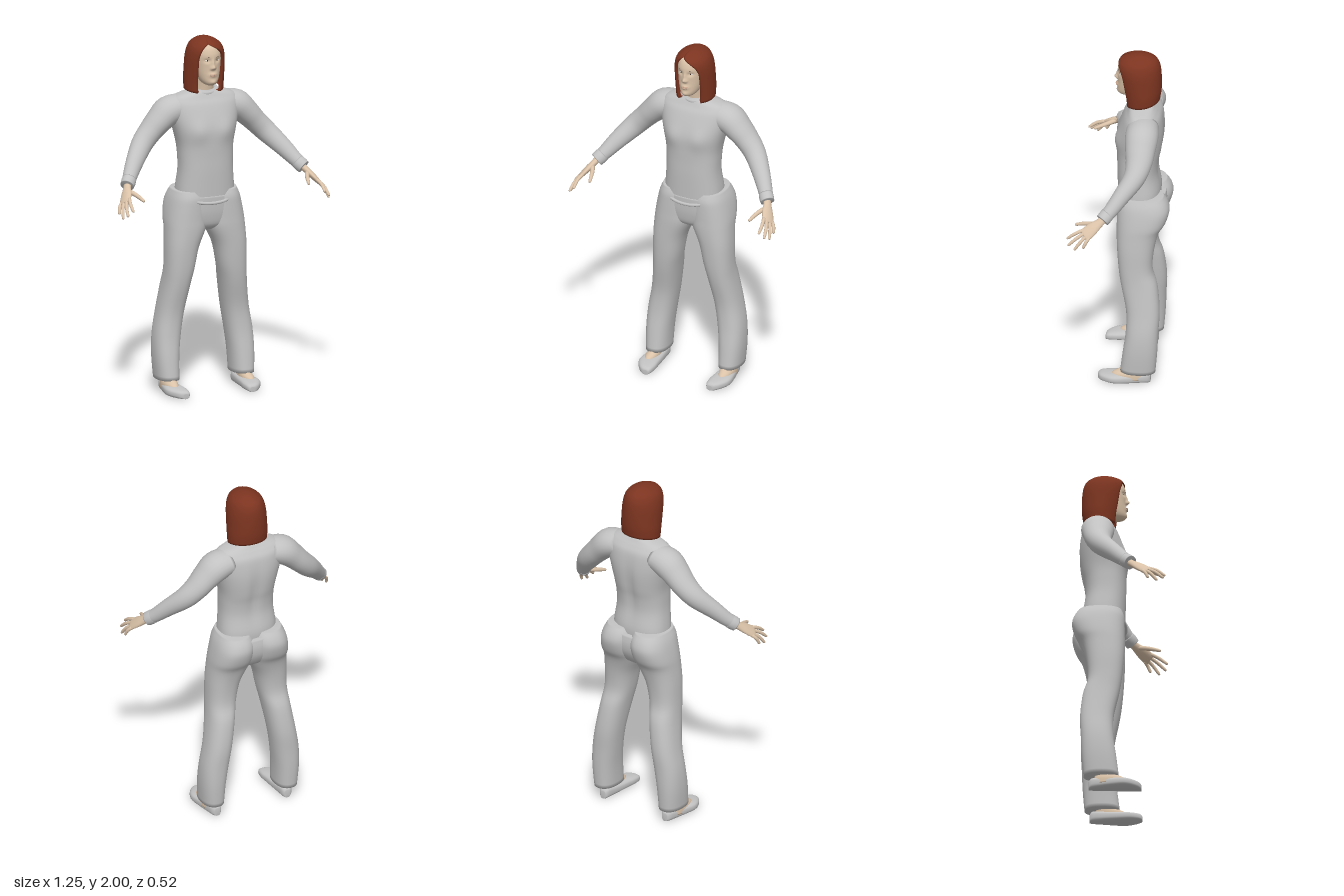
import * as THREE from 'three';

const mat = (name, color, side = THREE.FrontSide) => {
  const m = new THREE.MeshStandardMaterial({ color, side });
  m.name = name;
  return m;
};

// Catmull-Rom resampling of rows of numbers
function smooth(rows, steps) {
  const out = [], at = i => rows[Math.max(0, Math.min(rows.length - 1, i))];
  for (let i = 0; i < rows.length - 1; i++) {
    for (let s = 0; s < steps; s++) {
      const t = s / steps, [a, b, c, d] = [at(i - 1), at(i), at(i + 1), at(i + 2)];
      out.push(b.map((v, k) => v + 0.5 * t * (c[k] - a[k] + t * (2 * a[k] - 5 * v + 4 * c[k] - d[k]
        + t * (3 * (v - c[k]) + d[k] - a[k])))));
    }
  }
  out.push(rows[rows.length - 1]);
  return out;
}

// Skin over rings of points; closed rings get rounded caps
function skin(rings, closed = true) {
  const n = rings[0].length, pos = rings.flat().flatMap(p => p.toArray()), idx = [];
  for (let i = 0; i < rings.length - 1; i++) {
    for (let j = 0; j < (closed ? n : n - 1); j++) {
      const k = (j + 1) % n, a = i * n + j, b = i * n + k;
      idx.push(a, b, b + n, a, b + n, a + n);
    }
  }
  if (closed) {
    [0, rings.length - 1].forEach(r => {
      const c = new THREE.Vector3();
      rings[r].forEach(p => c.addScaledVector(p, 1 / n));
      const ci = pos.length / 3;
      pos.push(c.x, c.y, c.z);
      for (let j = 0; j < n; j++) {
        const a = r * n + j, b = r * n + (j + 1) % n;
        if (r) idx.push(a, b, ci); else idx.push(b, a, ci);
      }
    });
  }
  const g = new THREE.BufferGeometry();
  g.setAttribute('position', new THREE.Float32BufferAttribute(pos, 3));
  g.setIndex(idx);
  g.computeVertexNormals();
  return g;
}

const oval = (a, e) => [Math.cos(a), Math.sin(a)].map(v => Math.sign(v) * Math.abs(v) ** (2 / e));
const angles = n => Array.from({ length: n }, (_, j) => j / n * Math.PI * 2);

// Upright form; rows are [y, xMin, xMax, zBack, zFront] from the bottom up
function column(rows, e = 2.2, n = 40, steps = 4) {
  return skin(smooth(rows, steps).map(([y, x0, x1, z0, z1]) => angles(n).map(a => {
    const [c, s] = oval(a, e);
    return new THREE.Vector3((x0 + x1 + (x1 - x0) * s) / 2, y, (z0 + z1 + (z1 - z0) * c) / 2);
  })));
}
const centred = rows => rows.map(([y, w, z0, z1]) => [y, -w, w, z0, z1]);

// Limb along a path; rows are [x, y, z, radiusAlongWide, otherRadius]
function limb(rows, wide = [0, 0, 1], n = 24, steps = 4) {
  const r = smooth(rows, steps), ref = new THREE.Vector3(...wide);
  const p = r.map(q => new THREE.Vector3(q[0], q[1], q[2]));
  return skin(r.map((q, i) => {
    const t = p[Math.min(i + 1, p.length - 1)].clone().sub(p[Math.max(i - 1, 0)]).normalize();
    const v = t.clone().cross(ref).normalize(), u = v.clone().cross(t);
    return angles(n).map(a => p[i].clone().addScaledVector(u, q[3] * Math.cos(a)).addScaledVector(v, q[4] * Math.sin(a)));
  }));
}

// Soft push along z on the front (side 1) or back (side -1)
function bump(g, side, midZ, list) {
  const p = g.attributes.position;
  for (let i = 0; i < p.count; i++) {
    if ((p.getZ(i) - midZ) * side < 0) continue;
    let d = 0;
    for (const [x, y, rx, ry, dz] of list) {
      d += dz * Math.exp(-(((p.getX(i) - x) / rx) ** 2) - (((p.getY(i) - y) / ry) ** 2));
    }
    p.setZ(i, p.getZ(i) + d);
  }
  g.computeVertexNormals();
  return g;
}

function mirrored(g) {
  const m = g.clone().scale(-1, 1, 1), ix = m.index;
  for (let i = 0; i < ix.count; i += 3) {
    const t = ix.getX(i);
    ix.setX(i, ix.getX(i + 1));
    ix.setX(i + 1, t);
  }
  m.computeVertexNormals();
  return m;
}

export function createModel() {
  const model = new THREE.Group();
  const cloth = mat('grey cloth', 0xc2c2c2), skinTone = mat('skin', 0xdac2a8);
  const hairRed = mat('red hair', 0x7c3420, THREE.DoubleSide), lipTone = mat('lips', 0xc4a08a);
  const white = mat('eye white', 0xe4e0d8), dark = mat('dark brown', 0x3a2a22);
  const add = (name, g, m) => {
    const mesh = new THREE.Mesh(g, m);
    mesh.name = name;
    model.add(mesh);
  };
  const pair = (name, g, m) => {
    add(name + 'Left', g, m);
    add(name + 'Right', mirrored(g), m);
  };

  // Sweater
  const torso = column(centred([
    [1.08, 0.168, -0.2, 0.03], [1.15, 0.165, -0.205, 0.033], [1.25, 0.155, -0.19, 0.037],
    [1.33, 0.155, -0.195, 0.038], [1.4, 0.16, -0.21, 0.04], [1.48, 0.178, -0.22, 0.04],
    [1.55, 0.195, -0.22, 0.025], [1.62, 0.205, -0.21, 0], [1.655, 0.19, -0.19, -0.02],
    [1.675, 0.155, -0.175, -0.03], [1.69, 0.1, -0.165, -0.037], [1.7, 0.075, -0.155, -0.042]]), 2.4, 56);
  bump(torso, 1, -0.06, [[0.08, 1.48, 0.05, 0.06, 0.012], [-0.08, 1.48, 0.05, 0.06, 0.012]]);
  bump(torso, -1, -0.12, [[0, 1.4, 0.03, 0.16, 0.014]]);
  add('sweaterBody', torso, cloth);
  pair('sleeve', limb([
    [0.12, 1.605, -0.115, 0.085, 0.07], [0.2, 1.585, -0.117, 0.092, 0.082], [0.26, 1.535, -0.115, 0.084, 0.072],
    [0.315, 1.478, -0.112, 0.073, 0.064], [0.375, 1.415, -0.09, 0.06, 0.06], [0.447, 1.335, -0.025, 0.047, 0.05],
    [0.495, 1.275, 0.025, 0.04, 0.041], [0.525, 1.24, 0.06, 0.035, 0.036]]), cloth);
  pair('cuff', limb([[0.505, 1.262, 0.038, 0.039, 0.04], [0.518, 1.247, 0.053, 0.04, 0.041],
    [0.531, 1.233, 0.067, 0.038, 0.039]]), cloth);
  add('collar', new THREE.TorusGeometry(0.072, 0.011, 12, 48).rotateX(-Math.PI / 2)
    .scale(1, 1.4, 0.87).rotateX(0.28).translate(0, 1.694, -0.1), cloth);

  // Trousers
  add('trouserSeat', column(centred([
    [0.91, 0.08, -0.15, -0.03], [0.94, 0.16, -0.19, 0.01], [1, 0.205, -0.225, 0.026],
    [1.06, 0.205, -0.235, 0.031], [1.11, 0.187, -0.228, 0.032]]), 2.3), cloth);
  pair('trouserLeg', column([
    [0.075, 0.162, 0.287, -0.195, 0], [0.2, 0.155, 0.295, -0.205, -0.015], [0.32, 0.14, 0.29, -0.21, -0.03],
    [0.45, 0.12, 0.268, -0.215, -0.03], [0.6, 0.095, 0.246, -0.2, 0], [0.7, 0.075, 0.238, -0.172, 0.015],
    [0.82, 0.05, 0.235, -0.18, 0.025], [0.92, 0.006, 0.229, -0.205, 0.03], [0.98, -0.005, 0.225, -0.24, 0.03],
    [1.05, -0.008, 0.213, -0.26, 0.03], [1.1, -0.005, 0.199, -0.25, 0.028],
    [1.14, 0.01, 0.18, -0.225, 0.015]], 2.35), cloth);
  add('waistband', new THREE.TubeGeometry(new THREE.CatmullRomCurve3([[-0.11, 1.088, 0.016], [-0.06, 1.077, 0.031],
    [0, 1.073, 0.036], [0.06, 1.077, 0.031], [0.11, 1.088, 0.016]].map(p => new THREE.Vector3(...p))), 32, 0.009, 8), cloth);

  // Feet and shoes
  pair('foot', column([[0.025, 0.19, 0.268, -0.14, 0.055], [0.055, 0.19, 0.266, -0.138, 0.045],
    [0.075, 0.192, 0.258, -0.135, 0.01], [0.095, 0.195, 0.252, -0.135, -0.03],
    [0.14, 0.195, 0.25, -0.13, -0.05]], 2), skinTone);
  const shoeRows = smooth([
    [-0.167, 0.198, 0.232, 0.045], [-0.15, 0.186, 0.248, 0.064], [-0.1, 0.18, 0.26, 0.062],
    [-0.03, 0.173, 0.275, 0.058], [0.02, 0.169, 0.282, 0.056], [0.06, 0.166, 0.274, 0.052],
    [0.1, 0.17, 0.25, 0.045], [0.118, 0.177, 0.23, 0.037], [0.124, 0.185, 0.215, 0.028]], 4);
  pair('shoe', skin(shoeRows.map(([z, x0, x1, h]) => angles(32).map(a => {
    const [c, s] = oval(a, 2.8);
    return new THREE.Vector3((x0 + x1 + (x1 - x0) * c) / 2, h * (1 + s) / 2, z);
  }))), cloth);

  // Hands: palm, four fingers and a thumb
  const across = [-0.58, 0.52, 0.63];
  pair('palm', limb([[0.515, 1.252, 0.045, 0.022, 0.02], [0.537, 1.222, 0.08, 0.024, 0.018],
    [0.558, 1.195, 0.118, 0.035, 0.017], [0.58, 1.166, 0.154, 0.037, 0.013],
    [0.585, 1.159, 0.164, 0.03, 0.009]], across), skinTone);
  const tips = [[0.575, 1.13, 0.258], [0.604, 1.104, 0.25], [0.617, 1.085, 0.214], [0.619, 1.1, 0.165]];
  tips.forEach((tip, i) => {
    const off = 0.027 - i * 0.018;
    const base = [0.577, 1.17, 0.15].map((v, k) => v + across[k] * off);
    const at = (t, lift, r) => [...base.map((v, k) => v + (tip[k] - v) * t + lift * [0.6, 0.8, 0][k]), r, r];
    pair('finger' + (i + 1), limb([at(0, 0, 0.01), at(0.5, 0.009, 0.0095), at(0.92, 0.002, 0.0078), at(1, 0, 0.004)],
      across, 12, 3), skinTone);
  });
  pair('thumb', limb([[0.54, 1.212, 0.1, 0.014, 0.013], [0.518, 1.2, 0.142, 0.0125, 0.0125],
    [0.504, 1.187, 0.185, 0.0105, 0.0105], [0.496, 1.176, 0.215, 0.008, 0.008],
    [0.494, 1.174, 0.221, 0.004, 0.004]], [1, 0, 0.3], 12), skinTone);

  // Neck and head with modelled face
  add('neck', column(centred([[1.66, 0.058, -0.15, -0.045], [1.71, 0.052, -0.145, -0.04],
    [1.78, 0.052, -0.14, -0.03]]), 2), skinTone);
  const head = column(centred([
    [1.735, 0.018, -0.06, 0.01], [1.745, 0.036, -0.085, 0.03], [1.765, 0.051, -0.11, 0.038],
    [1.8, 0.065, -0.14, 0.036], [1.84, 0.073, -0.16, 0.035], [1.88, 0.078, -0.175, 0.036],
    [1.92, 0.079, -0.175, 0.033], [1.955, 0.068, -0.165, 0.015], [1.975, 0.04, -0.13, -0.03]]), 2.1, 112, 8);
  bump(head, 1, -0.03, [
    [0, 1.843, 0.012, 0.012, 0.019], [0, 1.865, 0.008, 0.02, 0.009], [0.011, 1.838, 0.006, 0.006, 0.006],
    [-0.011, 1.838, 0.006, 0.006, 0.006], [0, 1.8, 0.022, 0.012, 0.01], [0, 1.759, 0.018, 0.012, 0.006],
    [0.03, 1.881, 0.016, 0.011, -0.009], [-0.03, 1.881, 0.016, 0.011, -0.009]]);
  add('head', head, skinTone);
  const ball = (rx, ry, rz, x, y, z) => new THREE.SphereGeometry(1, 20, 14).scale(rx, ry, rz).translate(x, y, z);
  pair('eye', ball(0.0125, 0.0062, 0.009, 0.03, 1.881, 0.014), white);
  pair('iris', ball(0.005, 0.0055, 0.005, 0.029, 1.881, 0.0195), dark);
  pair('eyebrow', limb([[0.012, 1.896, 0.032, 0.002, 0.002], [0.022, 1.9, 0.029, 0.003, 0.003],
    [0.036, 1.902, 0.0225, 0.003, 0.0025], [0.05, 1.896, 0.011, 0.002, 0.0015]], [0, 1, 0], 8), dark);
  add('upperLip', ball(0.021, 0.0045, 0.0125, 0, 1.803, 0.036), lipTone);
  add('lowerLip', ball(0.018, 0.0048, 0.0125, 0, 1.795, 0.0355), lipTone);

  // Bobbed hair: rows [y, halfWidth, zBack, zFront, opening, shift], open over the face
  const hairRows = smooth([
    [1.686, 0.112, -0.198, -0.002, 38, 0], [1.75, 0.114, -0.205, 0.008, 40, 0], [1.82, 0.112, -0.207, 0.024, 42, 0],
    [1.88, 0.109, -0.205, 0.036, 42, -1], [1.92, 0.102, -0.2, 0.041, 36, -3], [1.945, 0.093, -0.192, 0.036, 25, -8],
    [1.96, 0.083, -0.183, 0.026, 12, -13], [1.972, 0.07, -0.17, 0.012, 0, -16], [1.986, 0.047, -0.145, -0.018, 0, -18],
    [1.995, 0.022, -0.113, -0.052, 0, -18], [1.998, 0.001, -0.084, -0.082, 0, -18]], 4);
  hairRows.unshift([1.695, 0.085, -0.17, -0.02, 42, 0]);
  const cols = 56;
  add('hair', skin(hairRows.map(([y, w, z0, z1, open, shift]) => {
    const row = [], gap = Math.max(0, open), lift = Math.max(0, Math.min(1, (1.8 - y) / 0.1)) * 0.03;
    for (let j = -1; j <= cols + 1; j++) {
      const t = Math.max(0, Math.min(cols, j)) / cols, k = j < 0 || j > cols ? 0.86 : 1;
      const a = (shift + gap + t * (360 - 2 * gap)) * Math.PI / 180;
      row.push(new THREE.Vector3(w * k * Math.sin(a), y + lift * (1 - Math.cos(a)) / 2,
        (z0 + z1) / 2 + (z1 - z0) / 2 * k * Math.cos(a)));
    }
    return row;
  }), false), hairRed);

  return model;
}
